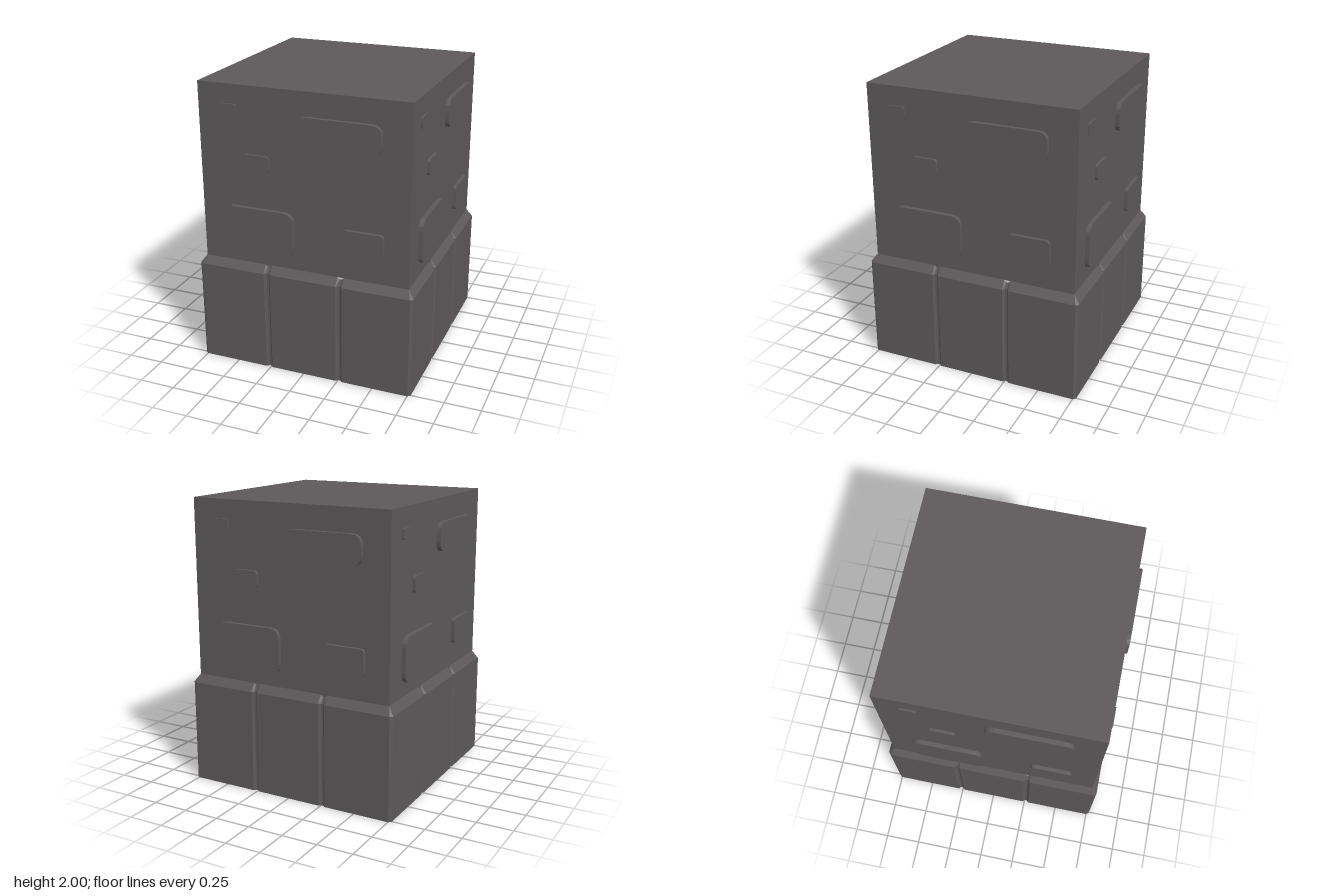
import * as THREE from 'three';

const BODY = 0.73;      // half width of the block
const SKIRT = 0.77;     // half width of the base skirt
const SEAM = 0.77;      // height where block and skirt meet
const CHAMFER_Y = 0.715;

const stone = new THREE.MeshStandardMaterial({ color: 0x5d595b });
stone.name = 'dark stone';
stone.side = THREE.DoubleSide;
stone.flatShading = true;

function part(name, geometry, parent) {
  const mesh = new THREE.Mesh(geometry, stone);
  mesh.name = name;
  parent.add(mesh);
  return mesh;
}

// Rectangle with rounded corners, centred on its origin
function roundedRect(w, h, r) {
  const s = new THREE.Shape();
  const x = w / 2, y = h / 2;
  s.moveTo(-x + r, -y);
  s.lineTo(x - r, -y);
  s.quadraticCurveTo(x, -y, x, -y + r);
  s.lineTo(x, y - r);
  s.quadraticCurveTo(x, y, x - r, y);
  s.lineTo(-x + r, y);
  s.quadraticCurveTo(-x, y, -x, y - r);
  s.lineTo(-x, -y + r);
  s.quadraticCurveTo(-x, -y, -x + r, -y);
  return s;
}

function square(half, Type) {
  return new Type([[-1, -1], [1, -1], [1, 1], [-1, 1]].map(([x, y]) => new THREE.Vector2(x * half, y * half)));
}

// Thin skirt: a grooved outline carried up three levels, chamfered at the top
function skirtGeometry() {
  const c = 0.018, depth = 0.016;
  const side = [[-SKIRT + c, 0]];
  for (const g of [-0.26, 0.26]) {
    side.push([g - 0.022, 0], [g - 0.007, depth], [g + 0.007, depth], [g + 0.022, 0]);
  }
  side.push([SKIRT - c, 0]);

  const levels = [[], [], []];
  for (let q = 0; q < 4; q++) {
    const angle = q * Math.PI / 2;
    for (const [u, d] of side) {
      const top = d > 0 ? SEAM - 0.014 : SEAM;
      const uTop = THREE.MathUtils.clamp(u, -BODY, BODY);
      const rows = [[u, 0, SKIRT - d], [u, CHAMFER_Y, SKIRT - d], [uTop, top, BODY]];
      rows.forEach(([x, y, z], i) => {
        levels[i].push(new THREE.Vector3(x, y, z).applyAxisAngle(new THREE.Vector3(0, 1, 0), angle));
      });
    }
  }
  const points = [];
  const n = levels[0].length;
  for (let k = 0; k < 2; k++) {
    for (let i = 0; i < n; i++) {
      const j = (i + 1) % n;
      const [a, b, e, f] = [levels[k][i], levels[k][j], levels[k + 1][j], levels[k + 1][i]];
      points.push(a, b, e, a, e, f);
    }
  }
  const geometry = new THREE.BufferGeometry().setFromPoints(points);
  geometry.computeVertexNormals();
  return geometry;
}

export function createModel() {
  const model = new THREE.Group();
  model.name = 'stoneBlock';

  // Block: solid upper part over a frame with a square recess underneath
  const split = 1.3;
  part('upperBlock', new THREE.BoxGeometry(2 * BODY, 2 - split, 2 * BODY), model).position.y = (2 + split) / 2;
  const frame = square(BODY, THREE.Shape);
  frame.holes.push(square(0.41, THREE.Path));
  const lower = part('lowerBlock',
    new THREE.ExtrudeGeometry(frame, { depth: split - SEAM, bevelEnabled: false }), model);
  lower.rotation.x = -Math.PI / 2;
  lower.position.y = SEAM;

  part('baseSkirt', skirtGeometry(), model);

  // Raised bricks, the same on every side: x0, x1, y0, y1, corner, thickness
  const bricks = [
    [-0.575, -0.455, 1.795, 1.87, 0.015, 0.012],
    [-0.03, 0.54, 1.64, 1.84, 0.07, 0.03],
    [-0.41, -0.23, 1.435, 1.545, 0.025, 0.02],
    [-0.555, -0.065, 0.865, 1.175, 0.07, 0.03],
    [0.275, 0.56, 0.94, 1.12, 0.03, 0.026],
  ];
  for (let q = 0; q < 4; q++) {
    const face = new THREE.Group();
    face.name = 'brickFace' + (q + 1);
    face.rotation.y = q * Math.PI / 2;
    for (const [x0, x1, y0, y1, r, t] of bricks) {
      const geometry = new THREE.ExtrudeGeometry(roundedRect(x1 - x0, y1 - y0, r),
        { depth: t, bevelEnabled: false, curveSegments: 4 });
      part('raisedBrick', geometry, face).position.set((x0 + x1) / 2, (y0 + y1) / 2, BODY);
    }
    model.add(face);
  }
  return model;
}
